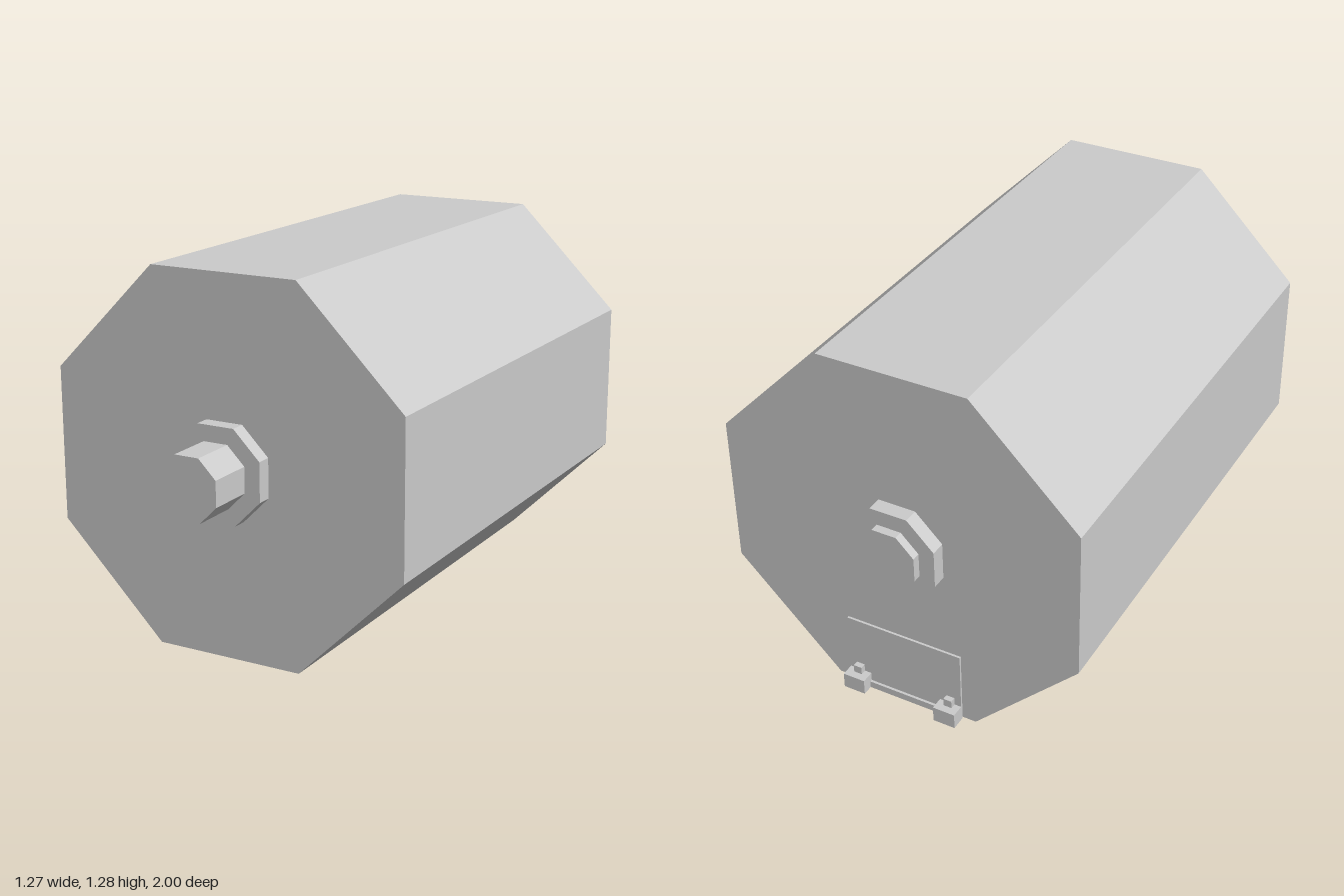
import * as THREE from 'three';

const AXIS_Y = 0.642;

export function createModel() {
  const model = new THREE.Group();
  const material = new THREE.MeshStandardMaterial({ color: 0xcccccc, flatShading: true });

  function add(name, geometry, x, y, z) {
    const mesh = new THREE.Mesh(geometry, material);
    mesh.name = name;
    mesh.position.set(x, y, z);
    model.add(mesh);
  }

  // Octagonal prism along z, flats facing up, down and sideways
  function octagon(name, apothem, zBack, zFront) {
    const radius = apothem / Math.cos(Math.PI / 8);
    const geometry = new THREE.CylinderGeometry(radius, radius, zFront - zBack, 8);
    geometry.rotateY(Math.PI / 8).rotateX(Math.PI / 2);
    add(name, geometry, 0, AXIS_Y, (zBack + zFront) / 2);
  }

  // Box given by its centre x, width, height range and z range
  function box(name, x, width, y0, y1, z0, z1) {
    add(name, new THREE.BoxGeometry(width, y1 - y0, z1 - z0), x, (y0 + y1) / 2, (z0 + z1) / 2);
  }

  octagon('housing', 0.637, -0.918, 0.786);
  octagon('frontBearing', 0.16, 0.786, 0.838);
  octagon('frontShaft', 0.105, 0.838, 1);
  octagon('rearBearing', 0.16, -0.97, -0.918);
  octagon('rearShaft', 0.105, -1, -0.97);

  // Terminal plate at the foot of the rear face
  box('terminalPlate', 0, 0.428, 0.004, 0.268, -0.926, -0.918);
  box('terminalStrip', 0, 0.27, 0, 0.025, -0.935, -0.918);

  // Terminal blocks, each with a small post on top
  for (const [side, name] of [[1, 'left'], [-1, 'right']]) {
    box(`${name}Terminal`, side * 0.174, 0.08, 0, 0.056, -0.972, -0.918);
    box(`${name}TerminalPost`, side * 0.174, 0.03, 0.056, 0.084, -0.946, -0.918);
  }

  return model;
}
